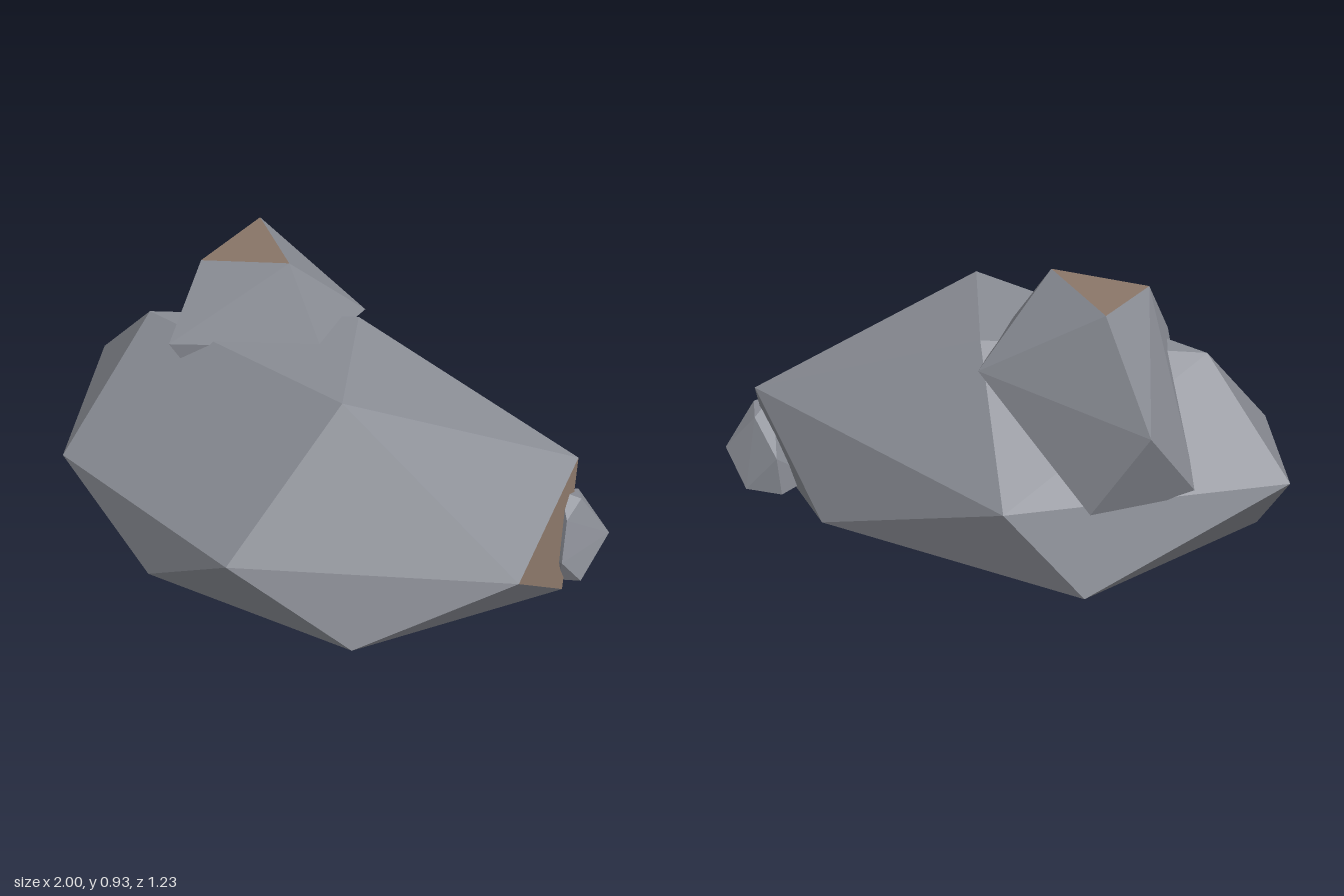
import * as THREE from 'three';
import { ConvexGeometry } from 'three/addons/geometries/ConvexGeometry.js';

const stone = new THREE.MeshStandardMaterial({ color: 0x8a8d95 });
stone.name = 'grey stone';
const earth = new THREE.MeshStandardMaterial({ color: 0x8a7668 });
earth.name = 'brown stone';

// Faceted boulder: hull of its corner points, with one facet (three corner indices) in brown
function boulder(name, corners, brownFacet) {
  const points = corners.map((c) => new THREE.Vector3(...c));
  const geometry = new ConvexGeometry(points);
  const position = geometry.getAttribute('position');
  const painted = (brownFacet || []).map((i) => points[i]);
  const corner = new THREE.Vector3();
  for (let i = 0; i < position.count; i += 3) {
    let matches = 0;
    for (let k = 0; k < 3; k++) {
      corner.fromBufferAttribute(position, i + k);
      if (painted.some((p) => p.distanceTo(corner) < 1e-4)) matches++;
    }
    geometry.addGroup(i, 3, matches === 3 ? 1 : 0);
  }
  const mesh = new THREE.Mesh(geometry, [stone, earth]);
  mesh.name = name;
  return mesh;
}

export function createModel() {
  const group = new THREE.Group();
  group.name = 'rockCluster';

  group.add(boulder('mainBoulder', [
    // widest ring and brown right-hand facet
    [1, 0.25, 0], [0.79, 0.39, -0.54], [0.91, 0, -0.35],
    [-0.33, 0.28, -0.58], [-1, 0.33, 0.07], [-0.61, 0.25, 0.58], [0.285, 0.25, 0.615],
    // flat base
    [0.65, 0, 0.4], [0.44, 0, -0.605], [-0.57, 0, -0.465], [-0.76, 0, 0.295], [-0.13, 0, 0.605],
    // top
    [-0.62, 0.66, 0.15], [0.35, 0.705, 0.155], [-0.02, 0.705, -0.295],
  ], [0, 1, 2]));

  group.add(boulder('upperBoulder', [
    // brown cap
    [-0.165, 0.93, -0.1], [-0.51, 0.92, -0.285], [-0.45, 0.89, 0.05],
    // shoulders
    [-0.1, 0.66, -0.41], [-0.755, 0.605, -0.385], [0.02, 0.69, -0.07], [-0.4, 0.655, 0.25],
    // sunken lower corners
    [-0.57, 0.3, -0.44], [-0.77, 0.3, -0.12], [-0.26, 0.395, 0.13],
  ], [0, 1, 2]));

  group.add(boulder('smallRock', [
    // base
    [0.94, 0.02, -0.41], [0.79, 0.02, -0.615], [0.66, 0.02, -0.57], [0.88, 0.02, -0.36], [0.66, 0.02, -0.4],
    // sides
    [0.92, 0.13, -0.575], [0.915, 0.12, -0.33], [0.67, 0.16, -0.575],
    // crown
    [0.88, 0.25, -0.385], [0.865, 0.29, -0.475], [0.81, 0.315, -0.43], [0.8, 0.27, -0.54],
  ]));

  return group;
}
